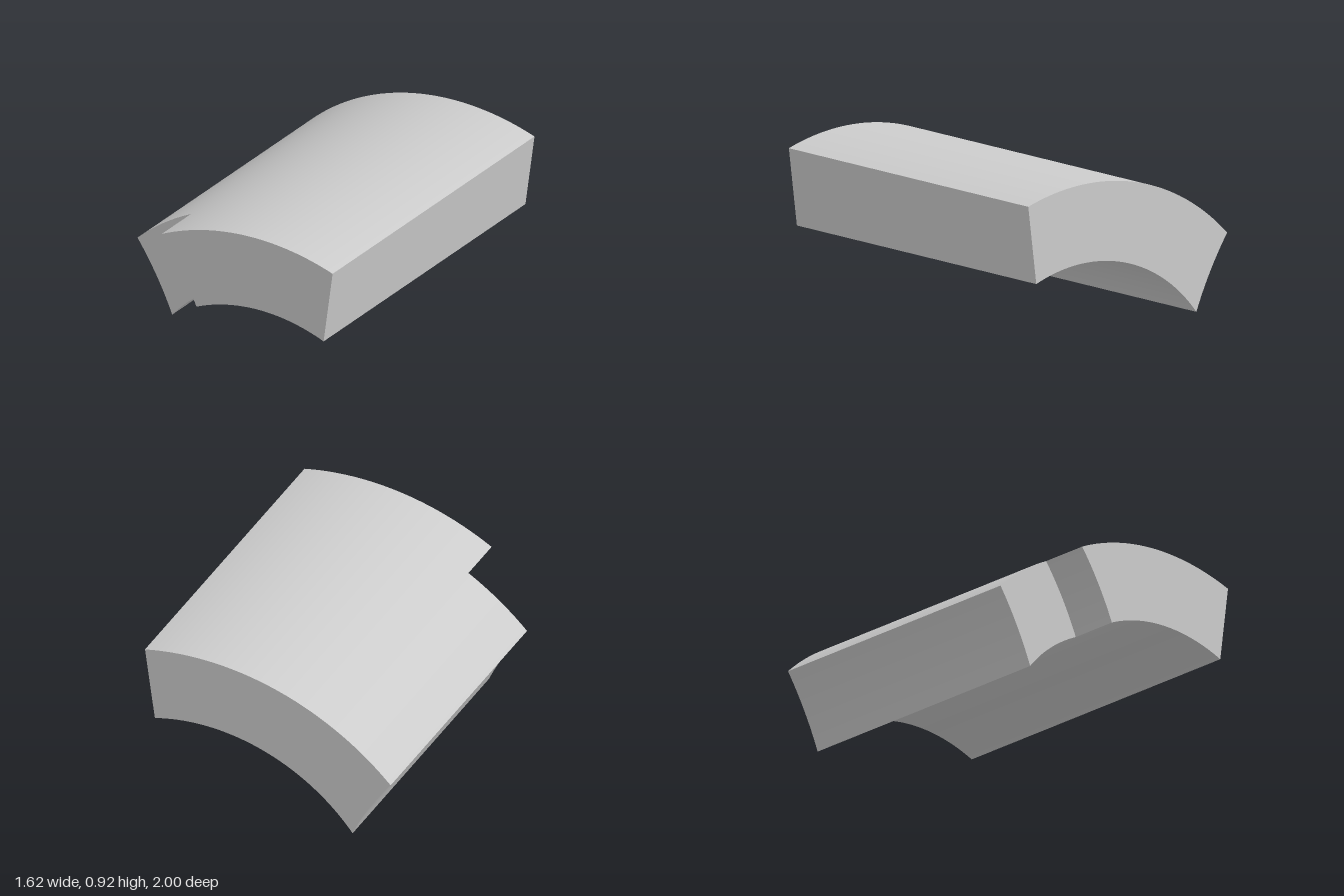
import * as THREE from 'three';

const BACK = -1, FRONT = 1, STEP = 0.71;
const outer = { x: 0.37, y: -0.75, r: 1.67 };
const inner = { x: 0.37, y: -0.743, r: 1.19 };

// Part of a circle's upper half between two x positions
function arc(c, x0, x1) {
  const angle = (x) => Math.acos((x - c.x) / c.r);
  return new THREE.ArcCurve(c.x, c.y, c.r, angle(x0), angle(x1), x1 > x0);
}

function at(c, x) {
  return new THREE.Vector2(x, c.y + Math.sqrt(c.r ** 2 - (x - c.x) ** 2));
}

// Slightly hollow edge running down from the outer to the inner arc
function hollowEdge(p, q) {
  const bulge = new THREE.Vector2(p.y - q.y, q.x - p.x).normalize().multiplyScalar(0.03);
  return new THREE.QuadraticBezierCurve(p, p.clone().add(q).multiplyScalar(0.5).add(bulge), q);
}

// Curve swept along z; the outside lies to the right of the curve's direction
function wall(curve, z0, z1, n) {
  const pos = [], nor = [], idx = [];
  for (let i = 0; i <= n; i++) {
    const p = curve.getPoint(i / n), t = curve.getTangent(i / n);
    for (const z of [z0, z1]) {
      pos.push(p.x, p.y, z);
      nor.push(t.y, -t.x, 0);
    }
    const a = 2 * i;
    if (i < n) idx.push(a, a + 2, a + 1, a + 1, a + 2, a + 3);
  }
  const g = new THREE.BufferGeometry();
  g.setAttribute('position', new THREE.Float32BufferAttribute(pos, 3));
  g.setAttribute('normal', new THREE.Float32BufferAttribute(nor, 3));
  g.setIndex(idx);
  return g;
}

// Flat end face bounded by a closed chain of [curve, segments]
function cap(chain, z, facesBack) {
  const pts = chain.flatMap(([c, n, reversed]) => {
    const p = c.getPoints(n);
    if (reversed) p.reverse();
    return p.slice(0, -1);
  });
  const g = new THREE.ShapeGeometry(new THREE.Shape(pts)).translate(0, 0, z);
  if (facesBack) {
    g.index.array.reverse();
    g.attributes.normal.array.forEach((v, i, a) => { a[i] = -v; });
  }
  return g;
}

export function createModel() {
  const model = new THREE.Group();
  const material = new THREE.MeshStandardMaterial({ color: 0xcccccc });
  const add = (name, geometry) => {
    const mesh = new THREE.Mesh(geometry, material);
    mesh.name = name;
    model.add(mesh);
  };

  // Profile edges, counter-clockwise
  const cut = hollowEdge(at(outer, -0.425), at(inner, -0.175));
  const end = hollowEdge(at(outer, -0.81), at(inner, -0.56));
  const mainInner = arc(inner, -0.175, 0.74);
  const mainSide = new THREE.LineCurve(at(inner, 0.74), at(outer, 0.805));
  const mainOuter = arc(outer, 0.805, -0.425);
  const lipInner = arc(inner, -0.56, -0.175);
  const lipOuter = arc(outer, -0.425, -0.81);

  // Full-length body
  add('bodyUnderside', wall(mainInner, BACK, FRONT, 48));
  add('bodySide', wall(mainSide, BACK, FRONT, 1));
  add('bodyTop', wall(mainOuter, BACK, FRONT, 48));
  add('notchWall', wall(cut, STEP, FRONT, 12));

  // Shorter lip beside the notch
  add('lipUnderside', wall(lipInner, BACK, STEP, 24));
  add('lipTop', wall(lipOuter, BACK, STEP, 24));
  add('lipEnd', wall(end, BACK, STEP, 12));

  // End faces
  const body = [[mainInner, 48], [mainSide, 1], [mainOuter, 48], [cut, 12]];
  const lip = [[lipInner, 24], [cut, 12, true], [lipOuter, 24], [end, 12]];
  add('bodyFront', cap(body, FRONT, false));
  add('bodyBack', cap(body, BACK, true));
  add('lipFront', cap(lip, STEP, false));
  add('lipBack', cap(lip, BACK, true));
  return model;
}
